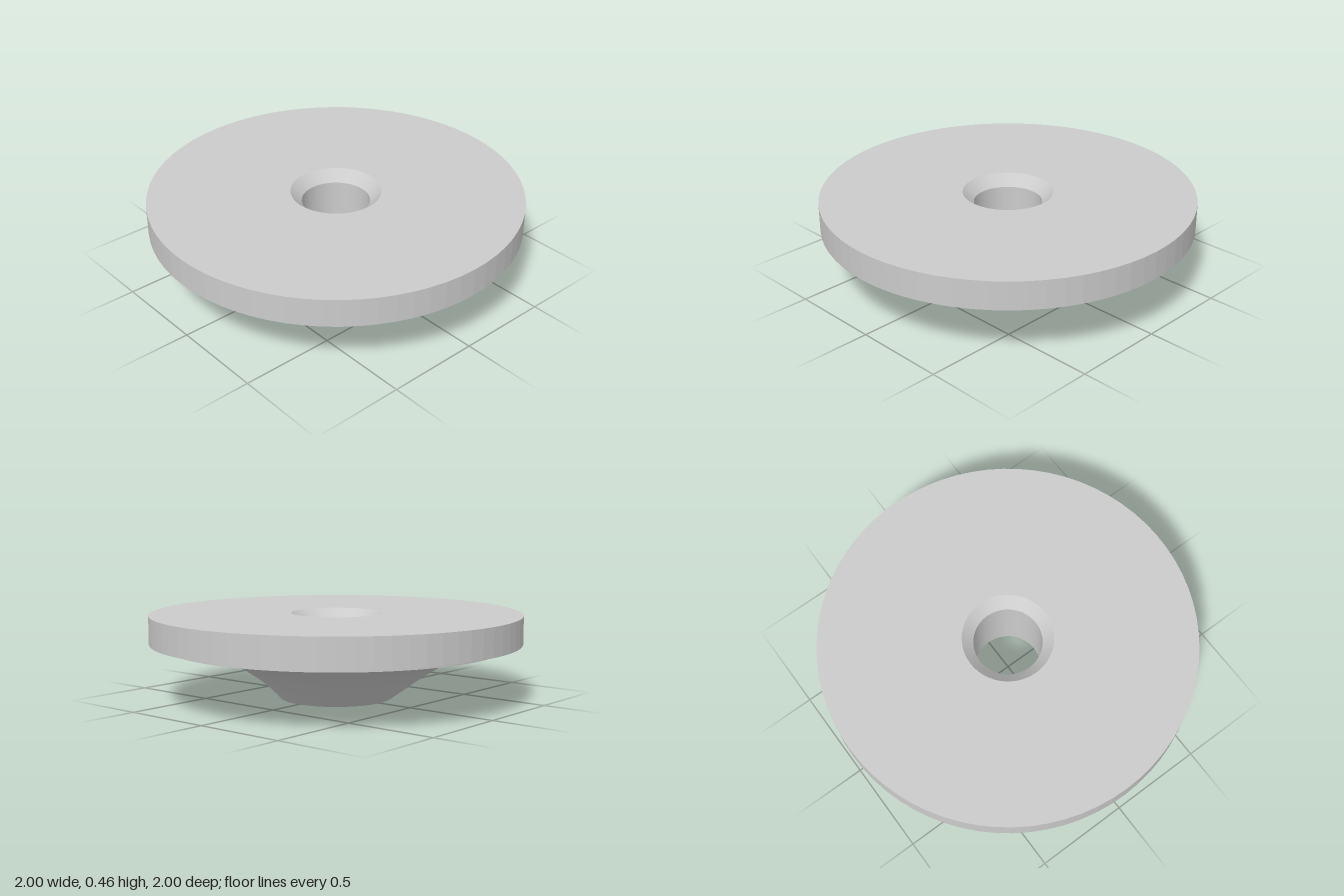
import * as THREE from 'three';

const SEGMENTS = 72;
const STEPS = 16;
const material = new THREE.MeshStandardMaterial({ color: 0xcccccc, flatShading: true });

// Revolve a list of [radius, height] pairs around the y axis
function turned(name, profile) {
  const points = profile.map(([r, y]) => new THREE.Vector2(r, y));
  const mesh = new THREE.Mesh(new THREE.LatheGeometry(points, SEGMENTS), material);
  mesh.name = name;
  return mesh;
}

// Flared underside: its curve leaves the hub more steeply at the front than at the back
function flare() {
  const profile = Array.from({ length: STEPS + 1 }, (_, i) => [0.5, i / STEPS]);
  const mesh = turned('flaredUnderside', profile);
  const position = mesh.geometry.attributes.position;
  for (let i = 0; i < position.count; i++) {
    const t = position.getY(i);
    const angle = Math.atan2(position.getX(i), position.getZ(i));
    const lean = Math.cos(angle);
    const curve = new THREE.CubicBezierCurve(
      new THREE.Vector2(0.302, 0),
      new THREE.Vector2(0.46 - 0.06 * lean, 0.145 - 0.005 * lean),
      new THREE.Vector2(0.64 - 0.01 * lean, 0.28),
      new THREE.Vector2(0.907, 0.28)
    );
    const p = curve.getPoint(t);
    position.setXYZ(i, p.x * Math.sin(angle), p.y, p.x * Math.cos(angle));
  }
  mesh.geometry.computeVertexNormals();
  return mesh;
}

export function createModel() {
  const model = new THREE.Group();
  model.name = 'flaredDisc';
  model.add(
    // Flat ring around the hole at the foot
    turned('hubFace', [[0.183, 0], [0.302, 0]]),
    flare(),
    // Narrow step, then the wide disc with its flat top
    turned('disc', [[0.907, 0.28], [0.907, 0.308], [1, 0.308], [1, 0.46], [0.242, 0.46]]),
    // Countersunk through hole
    turned('countersink', [[0.242, 0.46], [0.183, 0.4]]),
    turned('bore', [[0.183, 0.4], [0.183, 0]])
  );
  return model;
}
